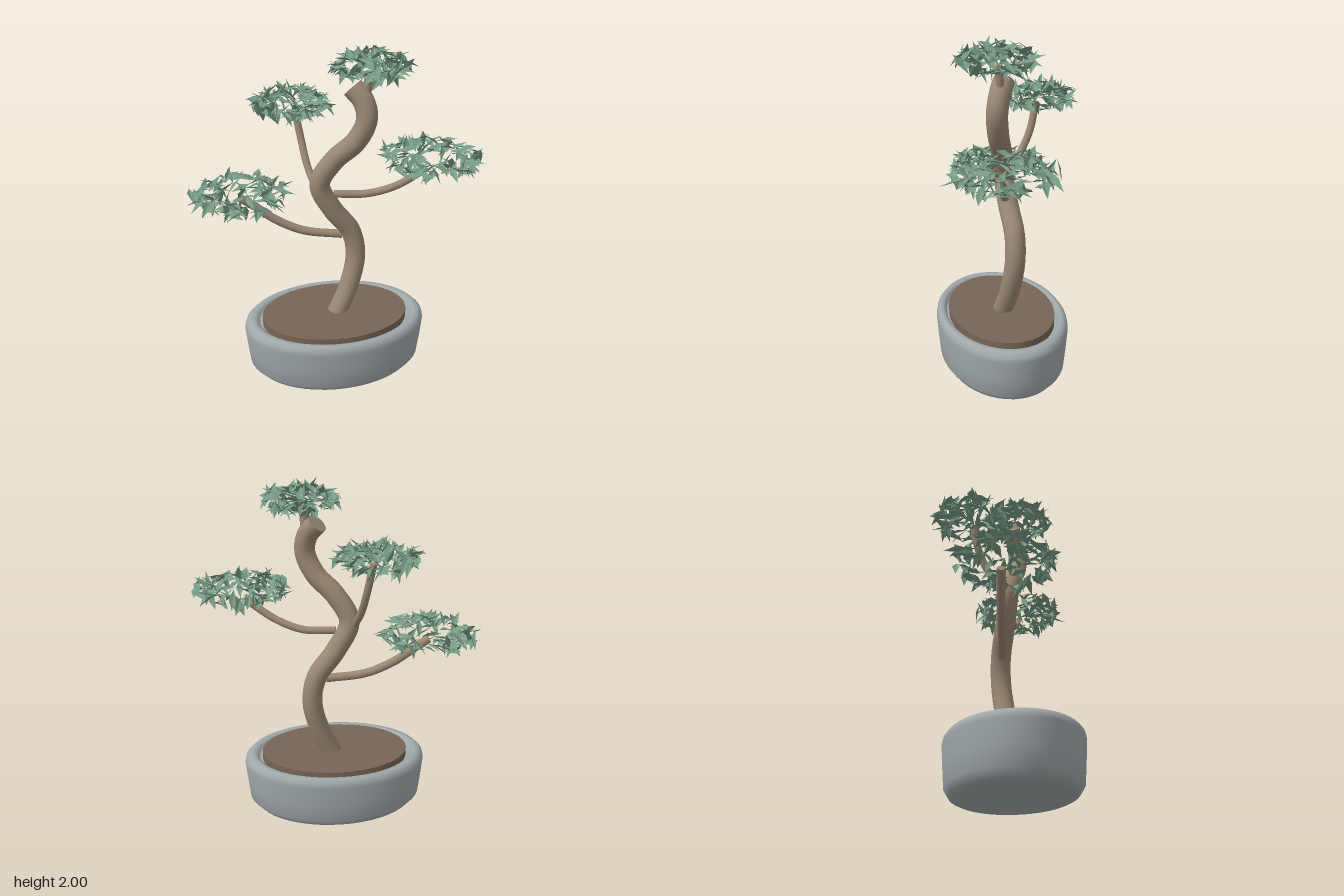
import * as THREE from 'three';
import { mergeGeometries } from 'three/addons/utils/BufferGeometryUtils.js';

const potMat = new THREE.MeshStandardMaterial({ color: 0xa0a8aa });
const soilMat = new THREE.MeshStandardMaterial({ color: 0x776555 });
const barkMat = new THREE.MeshStandardMaterial({ color: 0x9a8874 });
const leafMat = new THREE.MeshStandardMaterial({ color: 0x789c86, flatShading: true, side: THREE.DoubleSide });

// Small seeded generator
let seed = 7;
function rand() {
  seed = (seed * 1664525 + 1013904223) % 4294967296;
  return seed / 4294967296;
}
const spread = (a) => (rand() * 2 - 1) * a;

function randomDirection() {
  const y = spread(1), a = rand() * Math.PI * 2, r = Math.sqrt(1 - y * y);
  return new THREE.Vector3(r * Math.cos(a), y, r * Math.sin(a));
}

function named(name, geometry, material) {
  const mesh = new THREE.Mesh(geometry, material);
  mesh.name = name;
  return mesh;
}

// Round limb along a smooth path, closed by a disc at each end
function limb(name, points, radius, segments, sides) {
  const curve = new THREE.CatmullRomCurve3(points.map((p) => new THREE.Vector3(...p)));
  const parts = [new THREE.TubeGeometry(curve, segments, radius, sides)];
  for (const t of [0, 1]) {
    const normal = curve.getTangentAt(t).multiplyScalar(t ? 1 : -1);
    const turn = new THREE.Quaternion().setFromUnitVectors(new THREE.Vector3(0, 0, 1), normal);
    const end = curve.getPointAt(t);
    parts.push(new THREE.CircleGeometry(radius, sides).applyQuaternion(turn).translate(end.x, end.y, end.z));
  }
  return named(name, mergeGeometries(parts), barkMat);
}

// Pad of folded, pointed leaves scattered over a flattened ball
function foliage(name, [cx, cy, cz], radius, height, count) {
  const pos = [];
  for (let i = 0; i < count; i++) {
    const out = randomDirection();
    const k = 0.85 + rand() * 0.2;
    const centre = new THREE.Vector3(cx + out.x * radius * k, cy + out.y * height * k, cz + out.z * radius * k);
    const dir = randomDirection();
    dir.y *= 0.75;
    dir.normalize();
    const up = new THREE.Vector3(spread(0.7), 1, spread(0.7));
    const side = new THREE.Vector3().crossVectors(dir, up).normalize();
    const fold = new THREE.Vector3().crossVectors(side, dir).multiplyScalar(0.008);
    const half = 0.05 + rand() * 0.018;
    const base = centre.clone().addScaledVector(dir, -half);
    const tip = centre.clone().addScaledVector(dir, half);
    const middle = centre.clone().addScaledVector(dir, -half * 0.15).add(fold);
    const left = middle.clone().addScaledVector(side, -0.02);
    const right = middle.clone().addScaledVector(side, 0.02);
    for (const v of [base, right, tip, base, tip, left]) pos.push(v.x, v.y, v.z);
  }
  const geometry = new THREE.BufferGeometry();
  geometry.setAttribute('position', new THREE.Float32BufferAttribute(pos, 3));
  geometry.computeVertexNormals();
  return named(name, geometry, leafMat);
}

export function createModel() {
  const model = new THREE.Group();
  model.name = 'pottedTree';

  // Oval pot and soil
  const planter = new THREE.Group();
  planter.name = 'planter';
  const profile = [
    [0, 0], [0.46, 0], [0.495, 0.012], [0.535, 0.055], [0.548, 0.16], [0.56, 0.285],
    [0.553, 0.315], [0.53, 0.338], [0.5, 0.34], [0.475, 0.328], [0.465, 0.3], [0, 0.3],
  ].map(([x, y]) => new THREE.Vector2(x, y));
  const pot = named('pot', new THREE.LatheGeometry(profile, 48), potMat);
  const soil = named('soil', new THREE.CylinderGeometry(0.45, 0.45, 0.05, 48), soilMat);
  soil.position.y = 0.325;
  planter.add(pot, soil);
  planter.position.set(-0.025, 0, 0.056);
  planter.scale.z = 0.7;
  model.add(planter);

  // Winding trunk, cut off at the top
  model.add(limb('trunk', [
    [-0.01, 0.33, 0.05], [0.07, 0.5, 0.025], [0.115, 0.7, 0.005], [0.085, 0.86, 0], [-0.03, 1.02, 0.01],
    [-0.108, 1.19, 0.02], [-0.03, 1.34, 0.05], [0.085, 1.46, 0.095], [0.14, 1.59, 0.115],
    [0.122, 1.69, 0.095], [0.07, 1.755, 0.06],
  ], 0.06, 80, 20));

  // Branches
  model.add(
    limb('lowerBranch', [
      [0.03, 0.845, 0], [-0.2, 0.88, -0.03], [-0.36, 0.955, -0.055], [-0.5, 1.06, -0.075], [-0.56, 1.1, -0.08],
    ], 0.025, 28, 10),
    limb('middleBranch', [
      [-0.03, 1.13, 0.04], [0.16, 1.13, 0.075], [0.31, 1.18, 0.12], [0.42, 1.25, 0.15], [0.48, 1.3, 0.16],
    ], 0.023, 28, 10),
    limb('upperBranch', [
      [-0.13, 1.17, -0.01], [-0.16, 1.27, -0.09], [-0.18, 1.4, -0.16], [-0.2, 1.53, -0.195], [-0.21, 1.58, -0.2],
    ], 0.022, 28, 10),
    limb('topBranch', [[0.135, 1.66, 0.1], [0.142, 1.76, 0.1], [0.15, 1.85, 0.11]], 0.024, 12, 10),
  );

  // Foliage pads
  model.add(
    foliage('lowerFoliage', [-0.56, 1.13, -0.07], 0.27, 0.07, 150),
    foliage('middleFoliage', [0.5, 1.36, 0.17], 0.27, 0.07, 150),
    foliage('upperFoliage', [-0.22, 1.61, -0.22], 0.215, 0.07, 150),
    foliage('topFoliage', [0.16, 1.88, 0.12], 0.2, 0.07, 150),
  );
  return model;
}
